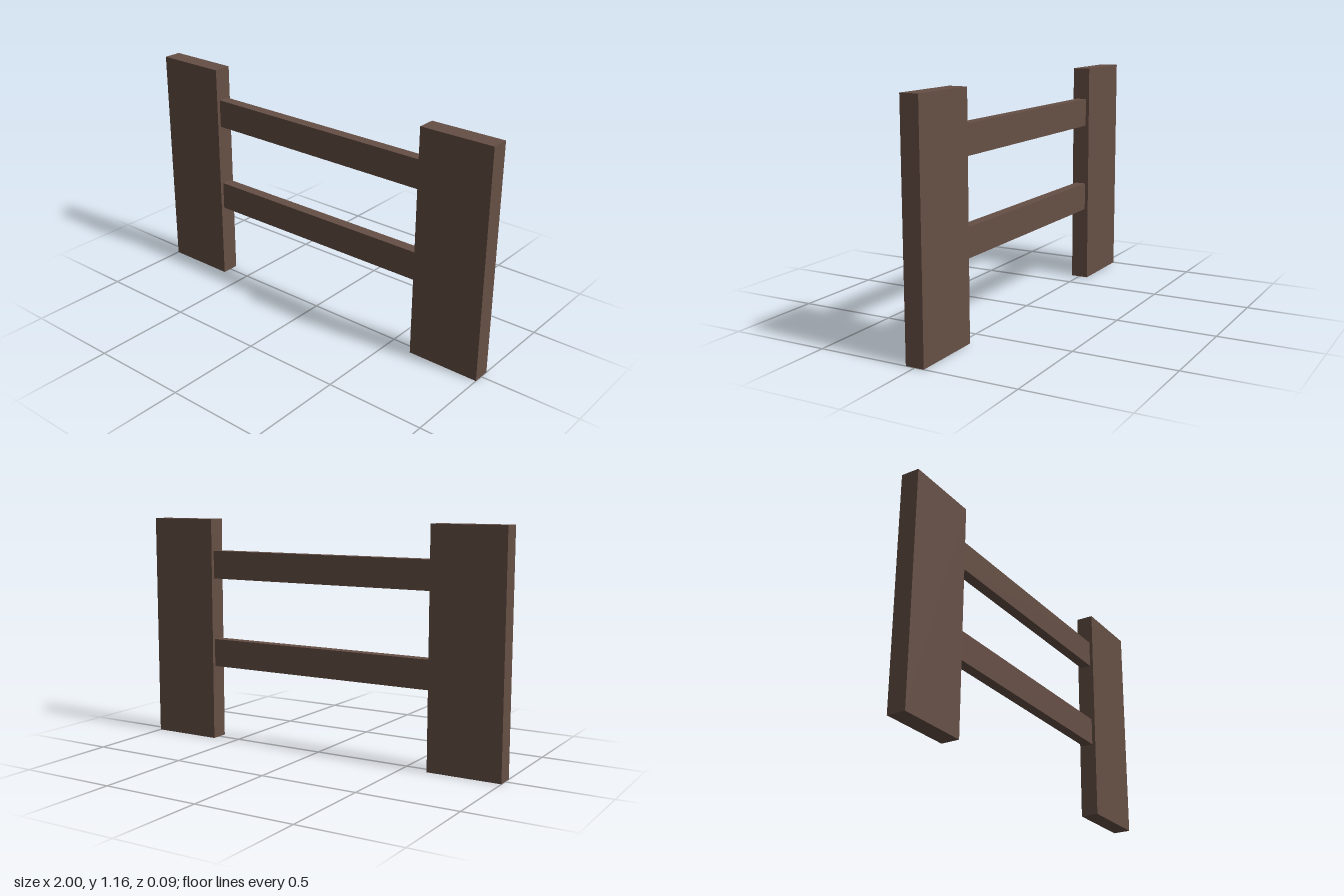
import * as THREE from 'three';

export function createModel() {
  const model = new THREE.Group();
  model.name = 'fence';
  const wood = new THREE.MeshStandardMaterial({ color: 0x664f45 });
  wood.name = 'brown wood';

  const addBoard = (name, width, height, depth, x, y) => {
    const board = new THREE.Mesh(new THREE.BoxGeometry(width, height, depth), wood);
    board.name = name;
    board.position.set(x, y, 0);
    model.add(board);
  };

  // Wide upright posts, mirrored across the centre
  const postWidth = 0.373, postHeight = 1.165;
  for (const [name, side] of [['leftPost', 1], ['rightPost', -1]]) {
    addBoard(name, postWidth, postHeight, 0.092, side * (1 - postWidth / 2), postHeight / 2);
  }

  // Thinner rails butting against the posts
  const railLength = 2 * (1 - postWidth);
  for (const [name, y] of [['lowerRail', 0.462], ['upperRail', 0.928]]) {
    addBoard(name, railLength, 0.145, 0.056, 0, y);
  }
  return model;
}
